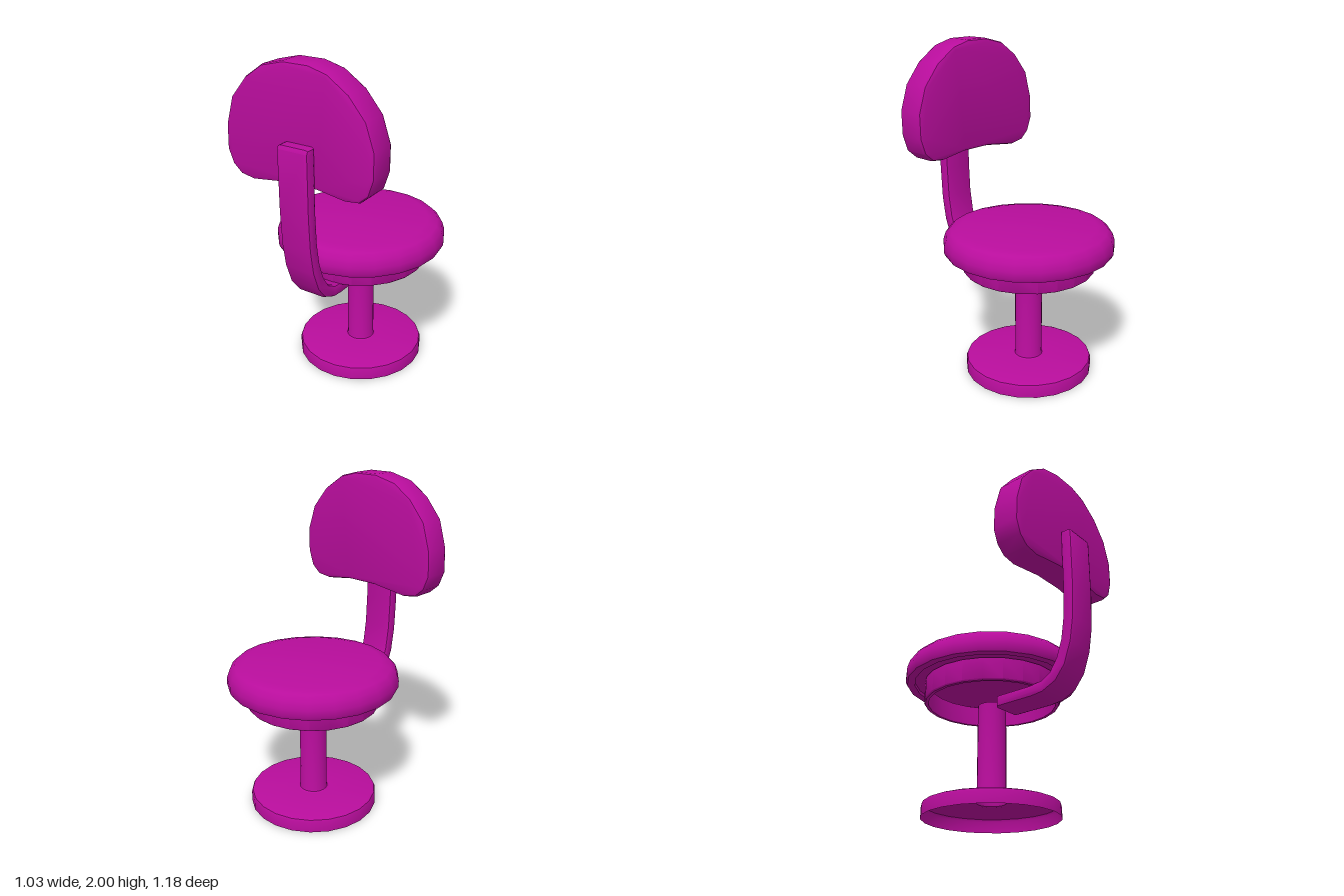
import * as THREE from 'three';
import { toCreasedNormals } from 'three/addons/utils/BufferGeometryUtils.js';

const material = new THREE.MeshStandardMaterial({ color: 0xb80d9c, side: THREE.DoubleSide });
const SIDES = 22;
const AXIS_Z = -0.08; // the round parts share this axis

const vectors = (points) => points.map(([x, y]) => new THREE.Vector2(x, y));

function addPart(group, name, geometry, crease) {
  const mesh = new THREE.Mesh(toCreasedNormals(geometry, crease), material);
  mesh.name = name;
  group.add(mesh);
  return mesh;
}

// Thin turned shell, profile as [radius, y] from bottom to top
function addTurned(group, name, profile) {
  const geometry = new THREE.LatheGeometry(vectors(profile), SIDES, Math.PI / 2);
  addPart(group, name, geometry, 0.75).position.z = AXIS_Z;
}

// Extruded plate with rounded edges; depth is the full thickness
function plate(points, depth, bevel) {
  return new THREE.ExtrudeGeometry(new THREE.Shape(vectors(points)), {
    depth: depth - 2 * bevel,
    bevelThickness: bevel,
    bevelSize: bevel,
    bevelOffset: -bevel,
    bevelSegments: 2,
  }).translate(0, 0, bevel);
}

export function createModel() {
  const chair = new THREE.Group();
  chair.name = 'swivelChair';

  // Hollow round foot
  addTurned(chair, 'base', [
    [0.392, 0], [0.392, 0.065], [0.386, 0.079], [0.37, 0.085], [0.095, 0.085],
  ]);

  // Tubular post with a small flare where it meets the foot
  addTurned(chair, 'post', [[0.095, 0.085], [0.086, 0.09], [0.083, 0.1], [0.083, 0.66]]);

  // Hollow ring under the cushion, with an inward lip
  addTurned(chair, 'seatPan', [
    [0.375, 0.79], [0.375, 0.67], [0.393, 0.67], [0.4, 0.678], [0.4, 0.8],
  ]);

  // Cushion with a turned-in lower rim
  addTurned(chair, 'cushion', [
    [0, 0.81], [0.46, 0.81], [0.46, 0.79], [0.505, 0.79], [0.515, 0.81], [0.515, 0.85],
    [0.5, 0.895], [0.47, 0.925], [0.41, 0.94], [0, 0.94],
  ]);

  // Bent support strip: side outline as [z, y], outer edge then inner edge
  const outer = [
    [0.03, 0.605], [0.28, 0.605], [0.36, 0.613], [0.45, 0.655], [0.515, 0.735],
    [0.56, 0.86], [0.583, 1.0], [0.593, 1.2], [0.593, 1.56], [0.58, 1.58],
  ];
  const inner = [
    [0.52, 1.58], [0.52, 1.2], [0.512, 1.02], [0.492, 0.89], [0.457, 0.79],
    [0.41, 0.72], [0.35, 0.685], [0.27, 0.675], [0.03, 0.675],
  ];
  const strip = plate([...outer, ...inner], 0.2, 0.02);
  strip.rotateY(-Math.PI / 2).translate(0.1, 0, 0);
  addPart(chair, 'backSupport', strip, 0.6);

  // Backrest pad: outline as [x, y], counter-clockwise from the lower middle
  const outline = [
    [-0.1, 1.34], [0.1, 1.34], [0.275, 1.315], [0.36, 1.325], [0.418, 1.375],
    [0.45, 1.47], [0.452, 1.615], [0.402, 1.765], [0.302, 1.885], [0.175, 1.97],
    [0.06, 2.0], [-0.095, 2.0], [-0.235, 1.965], [-0.35, 1.885], [-0.45, 1.765],
    [-0.497, 1.605], [-0.503, 1.46], [-0.47, 1.375], [-0.413, 1.325], [-0.323, 1.31],
  ];
  const pad = plate(outline, 0.175, 0.022).translate(0, 0, 0.345);
  addPart(chair, 'backrest', pad, 0.65);

  return chair;
}
